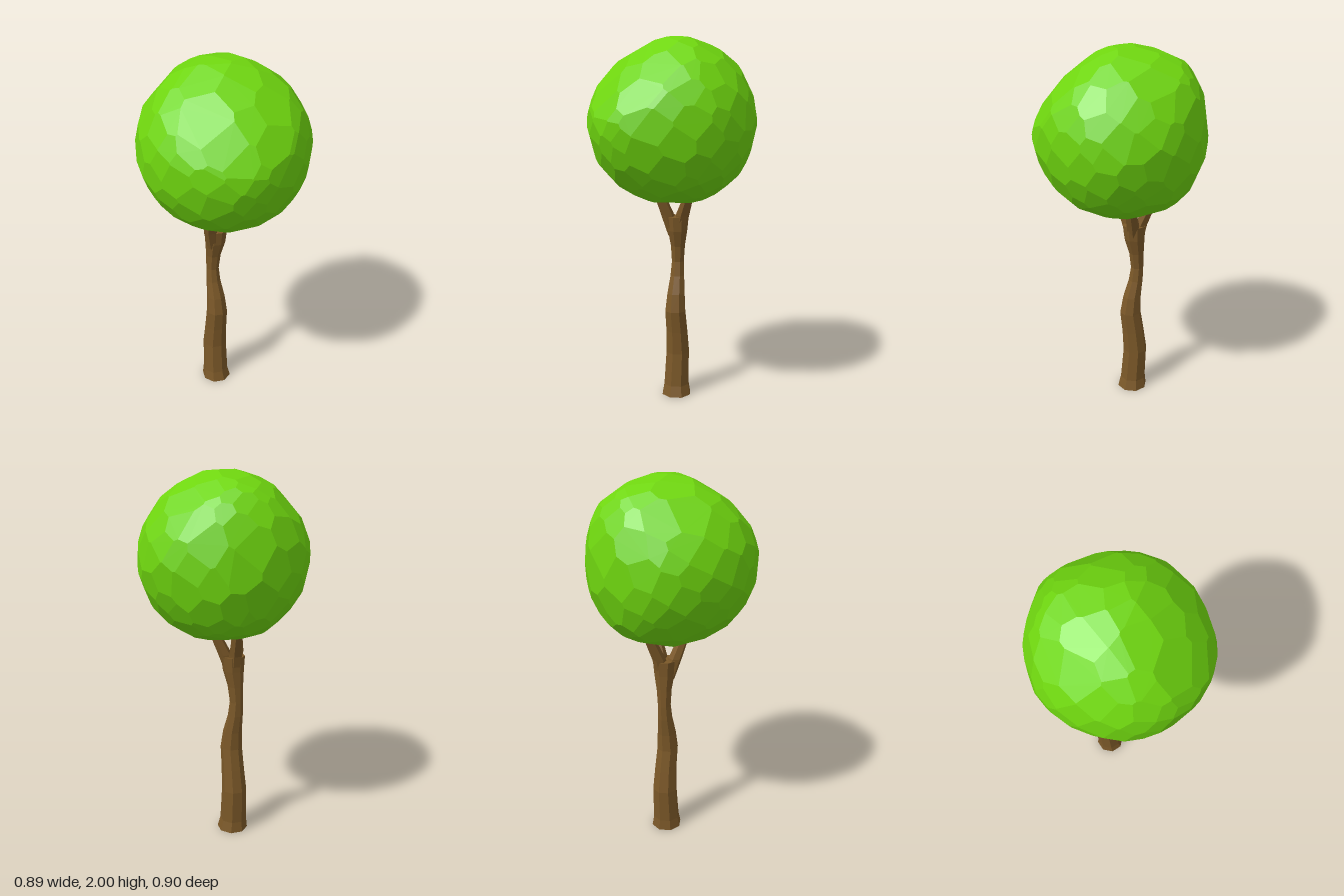
import * as THREE from 'three';
import { ConvexGeometry } from 'three/addons/geometries/ConvexGeometry.js';

const bark = new THREE.MeshStandardMaterial({ color: 0x7b5828, flatShading: true });
const leaf = new THREE.MeshStandardMaterial({ color: 0x6fd60f, flatShading: true });

// Seeded random in -0.5..0.5
function seeded(seed) {
  return () => {
    seed = (seed * 16807) % 2147483647;
    return seed / 2147483647 - 0.5;
  };
}

// Closed tube through stations [x, y, z, radius] with horizontal rings
function loft(stations, sides) {
  const pos = [], idx = [];
  for (const [x, y, z, r] of stations) {
    for (let i = 0; i < sides; i++) {
      const a = ((i + 0.5) / sides) * Math.PI * 2;
      pos.push(x + r * Math.sin(a), y, z + r * Math.cos(a));
    }
  }
  const last = stations.length - 1;
  for (let s = 0; s < last; s++) {
    for (let i = 0; i < sides; i++) {
      const j = (i + 1) % sides;
      const a = s * sides + i, b = s * sides + j;
      idx.push(a, b, b + sides, a, b + sides, a + sides);
    }
  }
  for (let i = 1; i < sides - 1; i++) {
    idx.push(0, i + 1, i);
    idx.push(last * sides, last * sides + i, last * sides + i + 1);
  }
  const geo = new THREE.BufferGeometry();
  geo.setAttribute('position', new THREE.Float32BufferAttribute(pos, 3));
  geo.setIndex(idx);
  geo.computeVertexNormals();
  return geo;
}

// Distance of the crown's tangent plane from its centre, by direction
const reach = [
  [1, 0, 0, 0.44], [-1, 0, 0, 0.445], [0, 1, 0, 0.435], [0, -1, 0, 0.435], [0, 0, 1, 0.45], [0, 0, -1, 0.45],
  [1, 1, 0, 0.428], [-1, 1, 0, 0.435], [-1, -1, 0, 0.442], [1, -1, 0, 0.449],
  [0, 1, 1, 0.388], [0, 1, -1, 0.478], [0, -1, -1, 0.47], [0, -1, 1, 0.442],
  [1, 0, 1, 0.424], [-1, 0, 1, 0.442], [-1, 0, -1, 0.46], [1, 0, -1, 0.445],
].map(([x, y, z, h]) => ({ dir: new THREE.Vector3(x, y, z).normalize(), h }));

function crownReach(n) {
  let sum = 0, total = 0;
  for (const { dir, h } of reach) {
    const w = Math.exp(14 * (n.dot(dir) - 1));
    sum += w * h;
    total += w;
  }
  return sum / total - 0.003;
}

// Faceted crown: the solid cut out by many tangent planes (polar dual of a hull)
function crownGeometry(count) {
  const rnd = seeded(4711);
  const poles = [];
  for (let i = 0; i < count; i++) {
    const y = 1 - (2 * (i + 0.5)) / count, a = i * 2.39996, r = Math.sqrt(1 - y * y);
    const n = new THREE.Vector3(r * Math.cos(a) + rnd() * 0.13, y + rnd() * 0.13, r * Math.sin(a) + rnd() * 0.13).normalize();
    poles.push(n.clone().divideScalar(crownReach(n) + rnd() * 0.004));
  }
  const p = new ConvexGeometry(poles).getAttribute('position');
  const corners = [], tri = new THREE.Triangle(), plane = new THREE.Plane();
  for (let i = 0; i < p.count; i += 3) {
    tri.setFromAttributeAndIndices(p, i, i + 1, i + 2);
    tri.getPlane(plane);
    corners.push(plane.normal.clone().divideScalar(-plane.constant));
  }
  return new ConvexGeometry(corners);
}

export function createModel() {
  const tree = new THREE.Group();
  tree.name = 'tree';
  const add = (name, geo, mat) => {
    const mesh = new THREE.Mesh(geo, mat);
    mesh.name = name;
    tree.add(mesh);
    return mesh;
  };

  // Wavy trunk, flared at the foot and below the fork
  add('trunk', loft([
    [-0.038, 0, -0.072, 0.085],
    [-0.042, 0.06, -0.076, 0.074],
    [-0.043, 0.25, -0.087, 0.069],
    [-0.038, 0.38, -0.075, 0.063],
    [-0.034, 0.5, -0.059, 0.06],
    [-0.038, 0.6, -0.068, 0.052],
    [-0.048, 0.7, -0.087, 0.041],
    [-0.051, 0.78, -0.094, 0.036],
    [-0.046, 0.87, -0.09, 0.042],
    [-0.037, 0.96, -0.08, 0.057],
    [-0.035, 1.04, -0.078, 0.065],
  ], 8), bark);

  // Three short branches running into the crown
  const branches = {
    frontBranch: [[-0.055, 0.93, -0.065], [-0.072, 1.05, -0.035], [-0.085, 1.16, 0.01], [-0.1, 1.3, 0.06]],
    leftBranch: [[-0.03, 0.93, -0.08], [0.008, 1.05, -0.075], [0.058, 1.16, -0.068], [0.12, 1.3, -0.06]],
    backBranch: [[-0.04, 0.93, -0.095], [-0.038, 1.05, -0.117], [-0.03, 1.16, -0.165], [-0.02, 1.3, -0.22]],
  };
  const radii = [0.03, 0.037, 0.03, 0.02];
  for (const [name, path] of Object.entries(branches)) {
    add(name, loft(path.map((q, i) => [...q, radii[i]]), 6), bark);
  }

  // Crown of leaves
  add('crown', crownGeometry(170), leaf).position.set(0, 1.565, 0);
  return tree;
}
